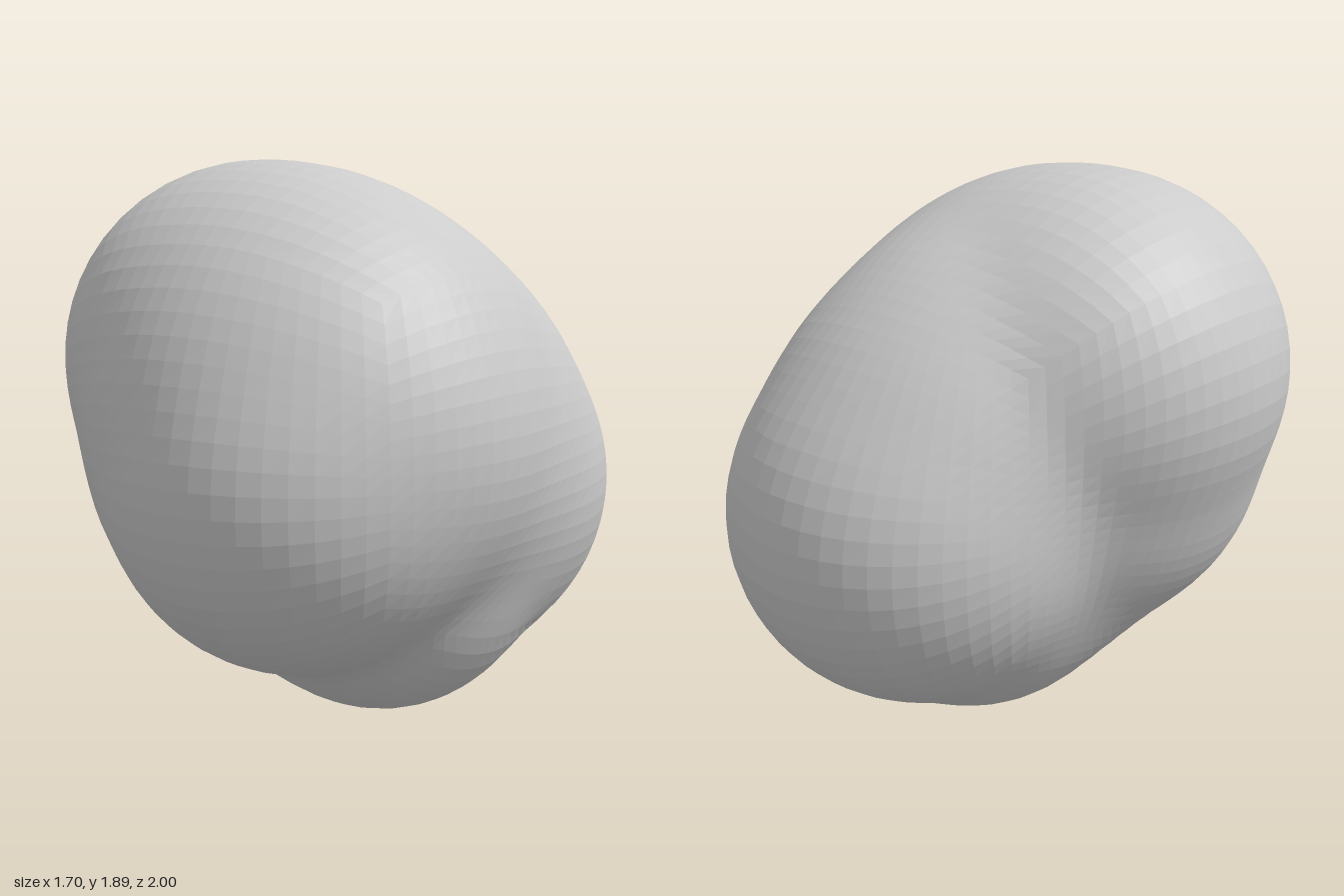
import * as THREE from 'three';

// Overlapping lobes of the body: x, y, z, radius
const LOBES = [
  [0.00, 1.22, 0.21, 0.66],   // crown
  [-0.20, 1.24, 0.18, 0.66],  // upper right
  [0.12, 1.14, 0.18, 0.67],   // upper left
  [0.18, 1.02, 0.20, 0.68],   // left flank
  [0.14, 0.90, -0.08, 0.67],  // rear left flank
  [-0.10, 0.93, 0.20, 0.65],  // right flank
  [0.00, 1.08, 0.29, 0.66],   // upper front
  [0.12, 0.87, 0.37, 0.64],   // front
  [0.05, 1.10, -0.04, 0.67],  // upper back
  [0.10, 0.97, -0.19, 0.67],  // back slope
  [0.13, 0.78, -0.35, 0.66],  // back
  [0.03, 0.70, 0.05, 0.58],   // lower front
  [0.12, 0.55, -0.10, 0.56],  // underside
];
const BLEND = 0.03;

// Softly blended distance to all lobes, negative inside
function blobDistance(p) {
  let sum = 0;
  for (const [x, y, z, r] of LOBES) {
    const d = Math.hypot(p.x - x, p.y - y, p.z - z) - r;
    sum += Math.exp(-d / BLEND);
  }
  return -BLEND * Math.log(sum) + 0.012;
}

// Pushes every vertex of a cube sphere out to the blended surface
function blobGeometry(segments) {
  const geometry = new THREE.BoxGeometry(2, 2, 2, segments, segments, segments);
  const pos = geometry.attributes.position;
  const core = new THREE.Vector3(0.03, 0.93, 0.02);
  const dir = new THREE.Vector3();
  const p = new THREE.Vector3();
  for (let i = 0; i < pos.count; i++) {
    dir.fromBufferAttribute(pos, i);
    // Even out the cells towards the cube's corners
    dir.set(...dir.toArray().map((c) => Math.tan(c * Math.PI / 4))).normalize();
    let near = 0, far = 1.6;
    for (let step = 0; step < 24; step++) {
      const mid = (near + far) / 2;
      p.copy(core).addScaledVector(dir, mid);
      if (blobDistance(p) < 0) near = mid; else far = mid;
    }
    pos.setXYZ(i, p.x, p.y, p.z);
  }
  geometry.computeVertexNormals();
  return geometry;
}

export function createModel() {
  const group = new THREE.Group();
  group.name = 'lumpyBoulder';
  const material = new THREE.MeshStandardMaterial({ color: 0xcccccc, flatShading: true });
  const body = new THREE.Mesh(blobGeometry(20), material);
  body.name = 'body';
  group.add(body);
  return group;
}
